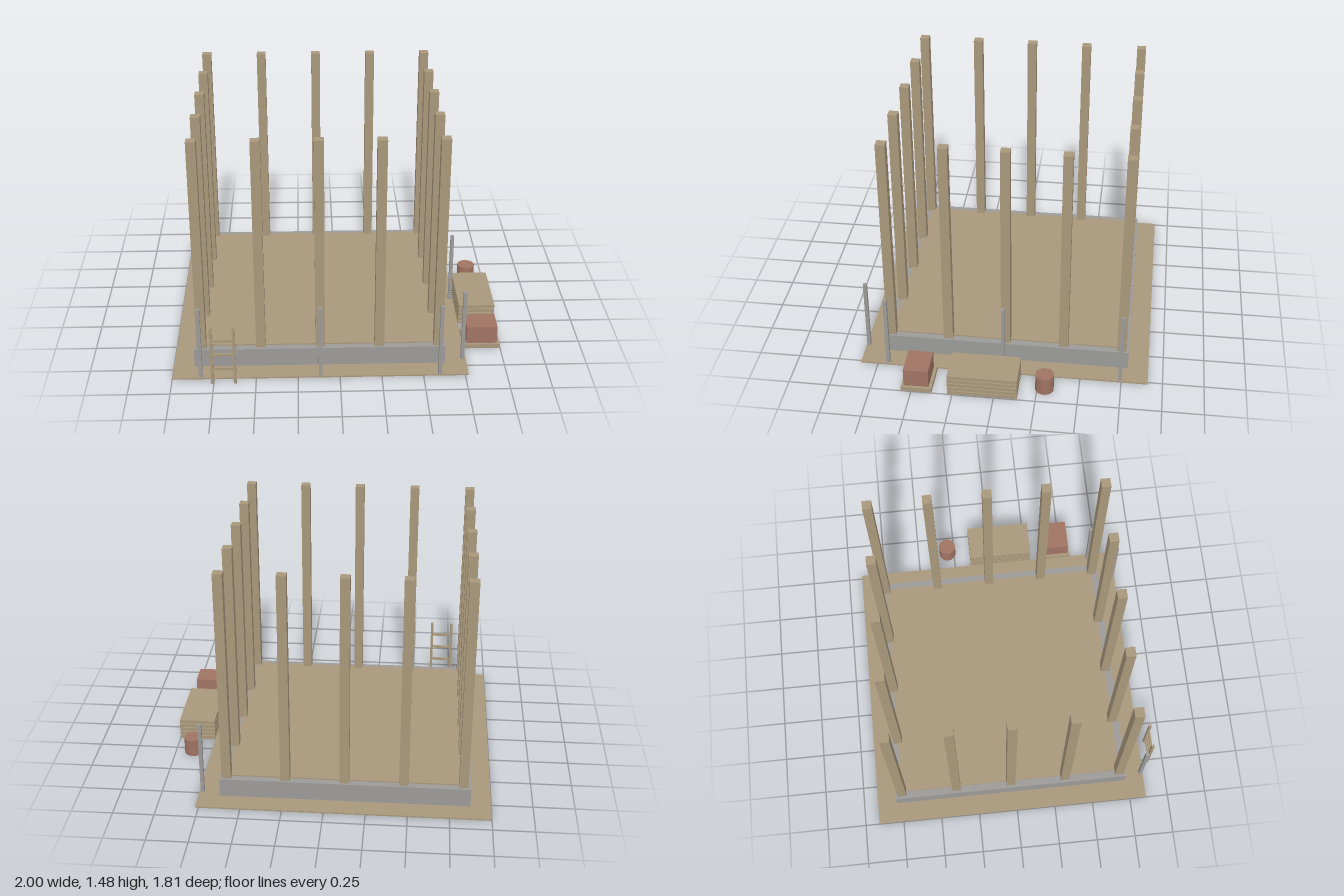
import * as THREE from 'three';

const material = (name, color) => {
  const m = new THREE.MeshStandardMaterial({ color });
  m.name = name;
  return m;
};

export function createModel() {
  const timber = material('timber tan', 0xa8977b);
  const concrete = material('concrete grey', 0x9b9a99);
  const brick = material('brick red', 0xa07463);
  const model = new THREE.Group();
  model.name = 'buildingSite';

  const group = (name) => {
    const g = new THREE.Group();
    g.name = name;
    model.add(g);
    return g;
  };
  // Box given by its minimum and maximum on each axis
  const box = (name, mat, [x0, x1], [y0, y1], [z0, z1], parent = model) => {
    const mesh = new THREE.Mesh(new THREE.BoxGeometry(x1 - x0, y1 - y0, z1 - z0), mat);
    mesh.position.set((x0 + x1) / 2, (y0 + y1) / 2, (z0 + z1) / 2);
    mesh.name = name;
    parent.add(mesh);
  };
  const around = (c, size) => [c - size / 2, c + size / 2];

  // Plot of ground and raised floor
  box('ground', timber, [-1, 0.77], [0.001, 0.01], [-0.91, 0.855]);
  box('floor', timber, [-0.83, 0.597], [0.11, 0.135], [-0.742, 0.687]);

  // Foundation walls
  const walls = group('foundation');
  const wallY = [0, 0.127];
  box('backWall', concrete, [-0.875, 0.64], wallY, [-0.785, -0.742], walls);
  box('frontWall', concrete, [-0.875, 0.64], wallY, [0.687, 0.73], walls);
  box('leftWall', concrete, [0.597, 0.64], wallY, [-0.742, 0.687], walls);
  box('rightWall', concrete, [-0.875, -0.83], wallY, [-0.742, 0.687], walls);

  // Posts round the edge of a five by five grid
  const posts = group('posts');
  const postX = (i) => -0.83 + i * 0.357;
  const postZ = (i) => -0.742 + i * 0.357;
  for (let i = 0; i < 5; i++) {
    for (let j = 0; j < 5; j++) {
      if (i % 4 && j % 4) continue;
      box('post', timber, around(postX(i), 0.057), [0.127, 1.477], around(postZ(j), 0.057), posts);
    }
  }

  // Thin stakes along the front and left sides
  const stakes = group('stakes');
  for (const i of [0, 2, 4]) {
    box('stake', concrete, around(postX(i), 0.022), [0.005, 0.477], around(0.84, 0.022), stakes);
    box('stake', concrete, around(0.75, 0.022), [0.005, 0.477], around(postZ(i), 0.022), stakes);
  }

  // Ladder
  const ladder = group('ladder');
  const ladderZ = [0.889, 0.905];
  for (const x of [-0.757, -0.623]) box('ladderRail', timber, around(x, 0.017), [0, 0.385], ladderZ, ladder);
  for (const y of [0.104, 0.201, 0.297]) {
    box('rung', timber, [-0.75, -0.63], around(y, 0.014), [0.89, 0.904], ladder);
  }

  // Stack of boards
  const stack = group('boardStack');
  for (let i = 0; i < 5; i++) {
    const y = 0.003 + i * 0.0283;
    box('board', timber, [0.771, 0.998], [y, y + 0.022], [-0.14, 0.28], stack);
  }

  // Pallet of bricks
  box('pallet', timber, [0.771, 0.998], [0, 0.028], [0.375, 0.562]);
  box('brickPile', brick, [0.79, 0.98], [0.028, 0.143], [0.395, 0.547]);

  // Barrel
  const barrel = new THREE.Mesh(new THREE.CylinderGeometry(0.056, 0.056, 0.113, 32), brick);
  barrel.position.set(0.884, 0.06, -0.295);
  barrel.name = 'barrel';
  model.add(barrel);

  return model;
}
